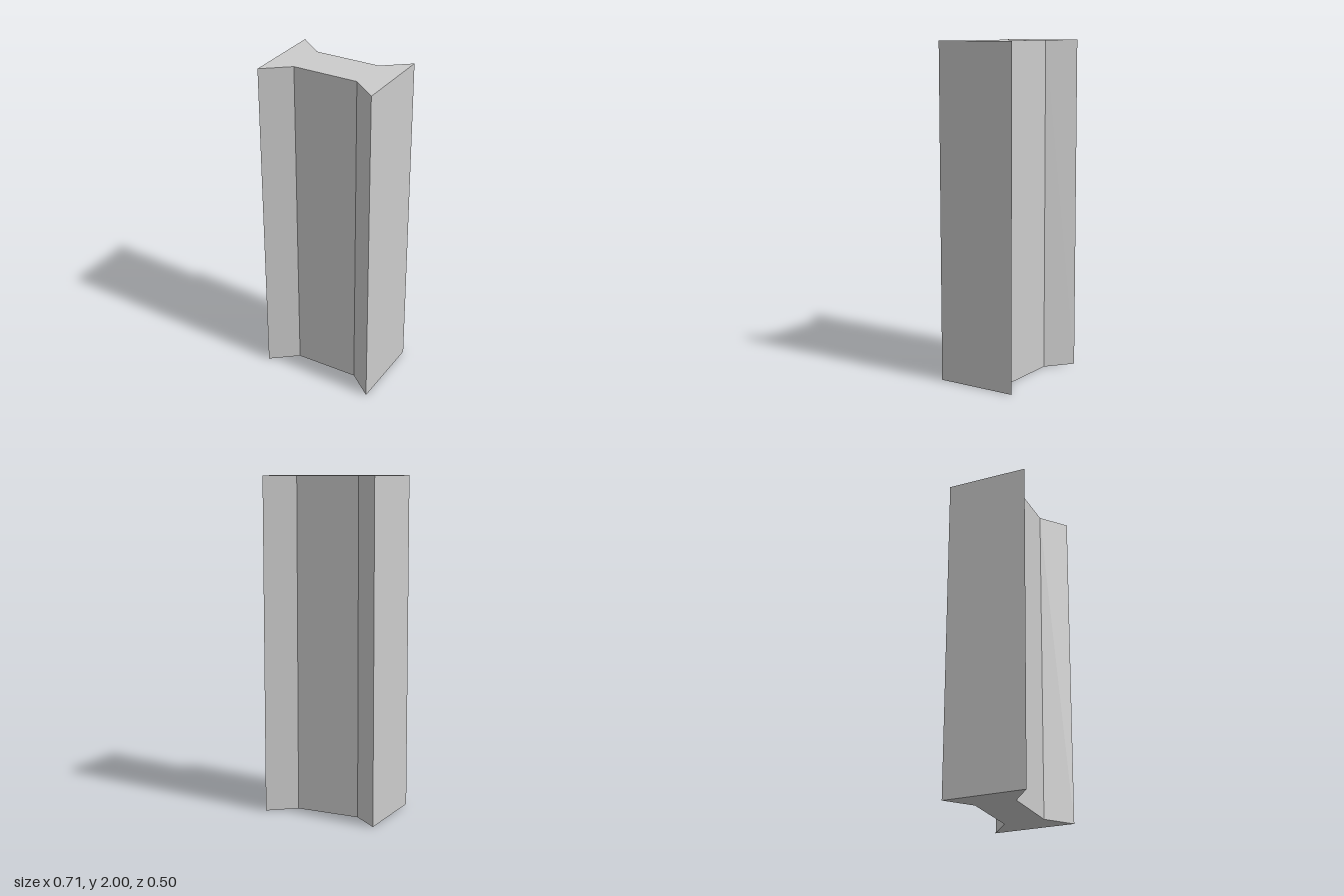
import * as THREE from 'three';

export function createModel() {
  const group = new THREE.Group();
  const material = new THREE.MeshStandardMaterial({ color: 0xcccccc, flatShading: true });

  // Double-dovetail cross-section: narrow waist flaring to both ends
  const endX = 0.354, endZ = 0.248, waistX = 0.198, waistZ = 0.123;
  const profile = new THREE.Shape([
    [-endX, -endZ], [-waistX, -waistZ], [waistX, -waistZ], [endX, -endZ],
    [endX, endZ], [waistX, waistZ], [-waistX, waistZ], [-endX, endZ],
  ].map(([x, z]) => new THREE.Vector2(x, z)));

  // Extrude the section, then stand it upright on the ground
  const geometry = new THREE.ExtrudeGeometry(profile, { depth: 2, bevelEnabled: false });
  geometry.rotateX(-Math.PI / 2);

  const key = new THREE.Mesh(geometry, material);
  key.name = 'dovetailKey';
  group.add(key);
  return group;
}
